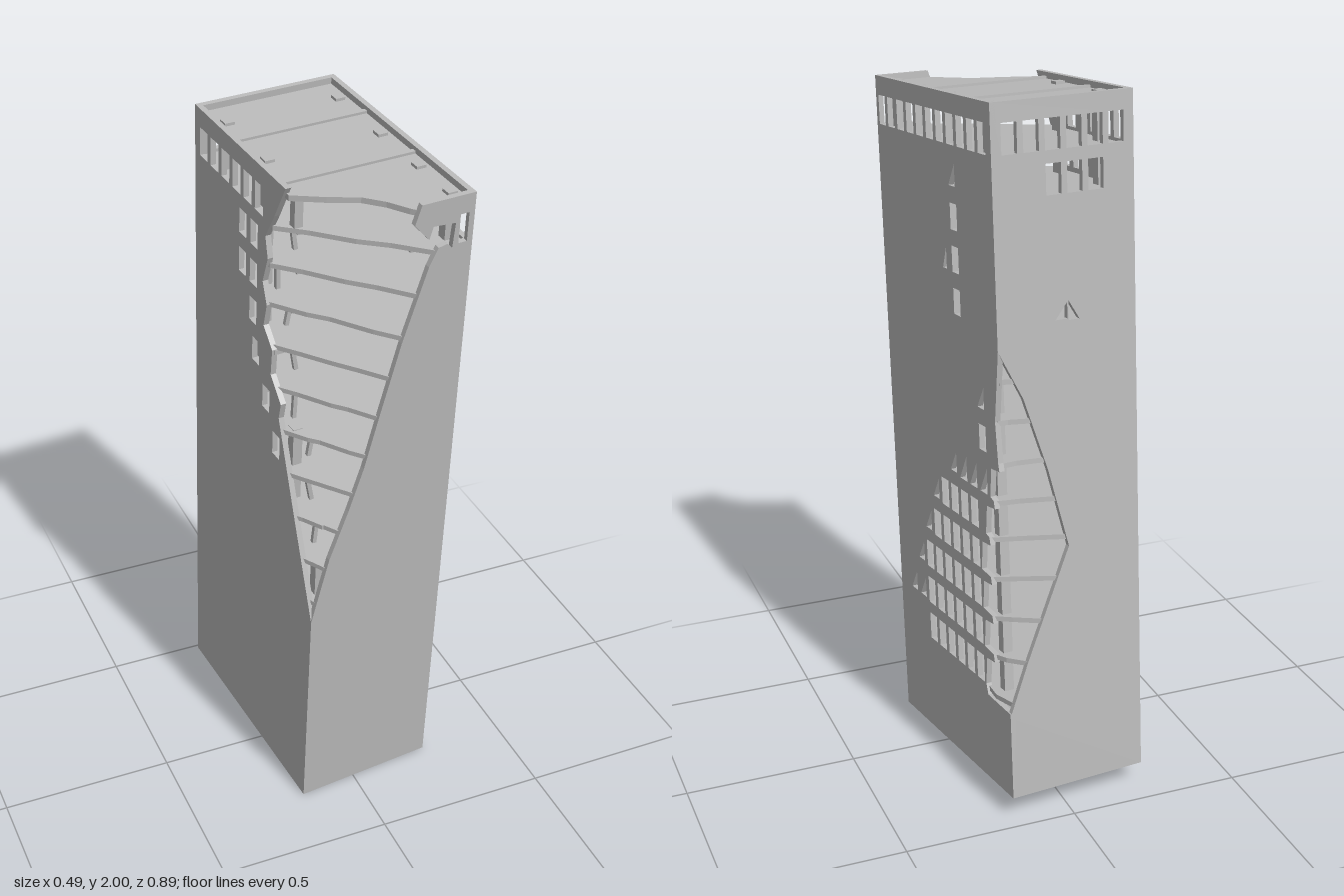
import * as THREE from 'three';

const HX = 0.2085, HZ = 0.356, H = 1.944, T = 0.016; // half width, half depth, height, wall thickness
const PITCH = 0.0625, FLOOR = 0.1163;                // window column and storey spacing
const rowY = r => 0.105 + FLOOR * r;

// Broken edges as [height, position along the wall]
const frontCut = [[0.69, -HX], [0.9, -0.16], [1.05, -0.108], [1.18, -0.068], [1.34, -0.03], [1.55, 0.022],
  [1.76, 0.086], [1.81, 0.11], [1.815, 0.135], [1.8, 0.15], [1.87, 0.155], [1.875, 0.09], [1.84, 0.08], [1.89, 0.035], [H, 0.052]];
const leftCut = [[0.69, HZ], [1.0, 0.235], [1.25, 0.14], [1.3, 0.15], [1.36, 0.09], [1.44, 0.095], [1.49, 0.045],
  [1.56, 0.06], [1.62, 0.035], [1.7, 0.06], [1.76, 0.045], [1.84, 0.09], [H, 0.143]];
const backCut = [[0.25, HX], [0.4, 0.15], [0.72, 0.012], [0.95, 0.07], [1.16, 0.138], [1.3, HX]];
const rightCut = [[0.26, -HZ], [0.265, -0.22]];
for (let r = 2; r < 8; r++) { // torn window bays leave short stubs at each storey
  const y = rowY(r), inner = -0.21 - (r > 5 ? (r - 5) * 0.035 : 0);
  rightCut.push([y - 0.042, inner], [y + 0.042, inner - 0.012], [y + 0.046, inner - 0.06], [y + 0.068, inner - 0.055]);
}
rightCut.push([1.1, -0.325], [1.3, -HZ]);

function at(table, y) {
  if (y <= table[0][0]) return table[0][1];
  for (let i = 1; i < table.length; i++) {
    const [y0, s0] = table[i - 1], [y1, s1] = table[i];
    if (y <= y1 && y1 > y0) return s0 + (s1 - s0) * (y - y0) / (y1 - y0);
  }
  return table[table.length - 1][1];
}

const poly = pts => new THREE.Shape(pts.map(p => new THREE.Vector2(p[0], p[1])));
const extrude = (shape, depth) => new THREE.ExtrudeGeometry(shape, { depth, bevelEnabled: false });

// Window opening; lean 1 or -1 leaves only a triangular remnant
function opening(s, r, lean = 0, w = 0.0225, h = 0.041) {
  const y = rowY(r);
  if (!lean) return [[s - w, y - h], [s + w, y - h], [s + w, y + h], [s - w, y + h]];
  return [[s - w, y - h], [s + w, y - h], [s + lean * w, y + h * 0.8]];
}

function inside(p, ring) {
  let hit = false;
  for (let i = 0, j = ring.length - 1; i < ring.length; j = i++) {
    const a = ring[i], b = ring[j];
    if ((a[1] > p[1]) !== (b[1] > p[1]) && p[0] < (b[0] - a[0]) * (p[1] - a[1]) / (b[1] - a[1]) + a[0]) hit = !hit;
  }
  return hit;
}

function wallGeometry(ring, windows) {
  const shape = poly(ring);
  for (const win of windows) {
    const clear = win.every(([x, y]) => [-0.006, 0.006].every(d => inside([x + d, y], ring) && inside([x, y + d], ring)));
    if (clear) shape.holes.push(new THREE.Path(win.map(p => new THREE.Vector2(p[0], p[1]))));
  }
  return extrude(shape, T);
}

export function createModel() {
  const concrete = new THREE.MeshStandardMaterial({ color: 0xbababa });
  concrete.name = 'concrete grey';
  const model = new THREE.Group();
  model.name = 'ruinedTower';
  const tower = new THREE.Group();
  tower.name = 'leaningTower';
  model.add(tower);

  function add(name, geometry, x = 0, y = 0, z = 0, rx = 0, ry = 0) {
    const mesh = new THREE.Mesh(geometry, concrete);
    mesh.name = name;
    mesh.position.set(x, y, z);
    mesh.rotation.set(rx, ry, 0);
    tower.add(mesh);
    return mesh;
  }
  const box = (name, w, h, d, x, y, z) => add(name, new THREE.BoxGeometry(w, h, d), x, y, z);
  const swap = t => t.map(([y, s]) => [s, y]);

  // Front wall, torn away along a diagonal
  add('frontWall', wallGeometry([[-HX, 0], [HX, 0], [HX, H], ...swap(frontCut).reverse()],
    [opening(0.181, 15, 0, 0.014)]), 0, 0, HZ - T);

  // Back wall with top windows and a torn corner
  const backWindows = [];
  for (let i = 0; i < 6; i++) backWindows.push(opening((i - 2.5) * PITCH, 15));
  for (const s of [-0.094, -0.031, 0.031]) backWindows.push(opening(s, 14));
  backWindows.push(opening(0.018, 11, -1, 0.018, 0.025), opening(-0.02, 11, 1, 0.016, 0.03));
  add('backWall', wallGeometry([[-HX, 0], [HX, 0], ...swap(backCut), [HX, H], [-HX, H]], backWindows), 0, 0, -HZ);

  // Right-hand wall with the blown-out window grid
  const topRow = [];
  for (let k = -5; k <= 5; k++) topRow.push(opening(k * PITCH + 0.008, 15));
  const sideWindows = [...topRow];
  const gridStart = { 2: 2, 3: 2, 4: 2, 5: 1, 6: 0, 7: -2 };
  for (const r in gridStart) {
    for (let k = gridStart[r]; k >= -5; k--) sideWindows.push(opening(k * PITCH + 0.008, +r, r === '7' ? -1 : 0));
  }
  for (const [k, r] of [[3, 3], [4, 3], [3, 4], [2, 5], [1, 6], [-1, 7], [-4, 9], [-2, 14], [-1, 12]]) {
    sideWindows.push(opening(k * PITCH + 0.008, r, -1, k === -1 && r === 12 ? 0.012 : 0.02, 0.034));
  }
  for (const [k, r] of [[-2, 13], [-2, 12], [-2, 11], [-4, 8]]) sideWindows.push(opening(k * PITCH + 0.004, r, 0, 0.02, 0.036));
  add('rightWall', wallGeometry([[-HZ, 0], [HZ, 0], [HZ, H], [-HZ, H], ...swap(rightCut).reverse()], sideWindows),
    HX, 0, 0, 0, -Math.PI / 2);

  // Left-hand wall, torn away at the front
  const leftWindows = [...topRow];
  for (const [k, r] of [[0, 14], [-1, 14], [0, 13], [-1, 13], [0, 12], [0, 11], [1, 10], [2, 9]]) {
    leftWindows.push(opening(k * PITCH + 0.004 - (r > 11 ? 0.02 : 0), r, 0, 0.02, 0.036));
  }
  add('leftWall', wallGeometry([[-HZ, 0], [HZ, 0], ...swap(leftCut), [-HZ, H]], leftWindows),
    -HX + T, 0, 0, 0, -Math.PI / 2);

  // Floor slabs follow both broken corners
  const ix = HX - T * 0.5, iz = HZ - T * 0.5;
  const slabRing = y => {
    const ring = [[ix, iz]];
    if (y > 0.7) {
      const fx = Math.max(-ix + 0.005, at(frontCut, y)), lz = Math.min(iz - 0.005, at(leftCut, y)), j = 0.014 * Math.sin(y * 37);
      ring.push([fx, iz]);
      for (const t of [0.25, 0.5, 0.75]) {
        const bump = t === 0.5 ? -j : j;
        ring.push([fx + (-ix - fx) * t + bump * 0.5, iz + (lz - iz) * t + bump]);
      }
      ring.push([-ix, lz]);
    } else ring.push([-ix, iz]);
    ring.push([-ix, -iz]);
    if (y > 0.27 && y < 1.28) {
      const bx = Math.min(ix - 0.005, at(backCut, y)), rz = Math.max(-iz + 0.005, at(rightCut, y));
      ring.push([bx, -iz], [(bx + ix) / 2 + 0.012, (rz - iz) / 2 + 0.008], [ix, rz]);
    } else ring.push([ix, -iz]);
    return ring;
  };
  const beamStart = (y, z) => { // left end of a cross beam, clear of the broken corner
    const lz = at(leftCut, y), fx = at(frontCut, y);
    return lz < z ? -HX + (z - lz) / (HZ - lz) * (fx + HX) + 0.03 : -ix;
  };
  const beams = (y, h) => {
    for (const z of [-0.155, 0.09]) {
      const x0 = beamStart(y, z);
      box('crossBeam', ix - x0, h, 0.013, (x0 + ix) / 2, y, z);
    }
  };
  for (let r = 0; r < 16; r++) {
    const y = rowY(r) - 0.05;
    add('floorSlab', extrude(poly(slabRing(y)), 0.014), 0, y, 0, Math.PI / 2);
    if (r > 0) beams(y - 0.02, 0.014);
  }

  // Roof and underside, recessed behind the rim
  const roof = [[ix, iz], [0.05, iz], [0.035, 0.33], [0, 0.277], [-0.045, 0.231], [-0.121, 0.193], [-ix, 0.145], [-ix, -iz], [ix, -iz]];
  add('roofSlab', extrude(poly(roof), 0.016), 0, H - 0.018, 0, Math.PI / 2);
  box('baseSlab', 2 * ix, 0.014, 2 * iz, 0, 0.027, 0);
  for (const z of [-0.155, 0.09]) {
    box('roofRib', 2 * ix, 0.008, 0.013, 0, H - 0.015, z);
    box('baseRib', 2 * ix, 0.01, 0.013, 0, 0.016, z);
  }

  // Columns run through every storey, snapped off at the broken corner
  for (const x of [-0.165, 0.165]) {
    for (const z of [-0.254, -0.032, 0.157, 0.304]) {
      const top = x < 0 && z > 0.2 ? 0.86 : x < 0 && z > 0.1 ? 1.22 : H - 0.01;
      box('column', 0.028, top - 0.012, 0.028, x, (top + 0.012) / 2, z);
    }
  }
  // Hanging and leaning remnants in the front opening
  box('hangingColumn', 0.024, 0.1, 0.024, -0.168, H - 0.07, 0.13);
  for (let r = 7; r < 15; r++) {
    const y = rowY(r), z = at(leftCut, y) - 0.03;
    const post = box('brokenPost', 0.012, 0.1, 0.012, -0.13 + 0.02 * Math.sin(r * 2.3), y, z);
    post.rotation.z = 0.2 * Math.sin(r * 4.1);
  }

  // Lean and turn the whole tower about its middle
  tower.children.forEach(part => { part.position.y -= H / 2; });
  tower.position.set(0, 1, 0);
  tower.rotation.set(THREE.MathUtils.degToRad(5), THREE.MathUtils.degToRad(6.1), 0);
  return model;
}
